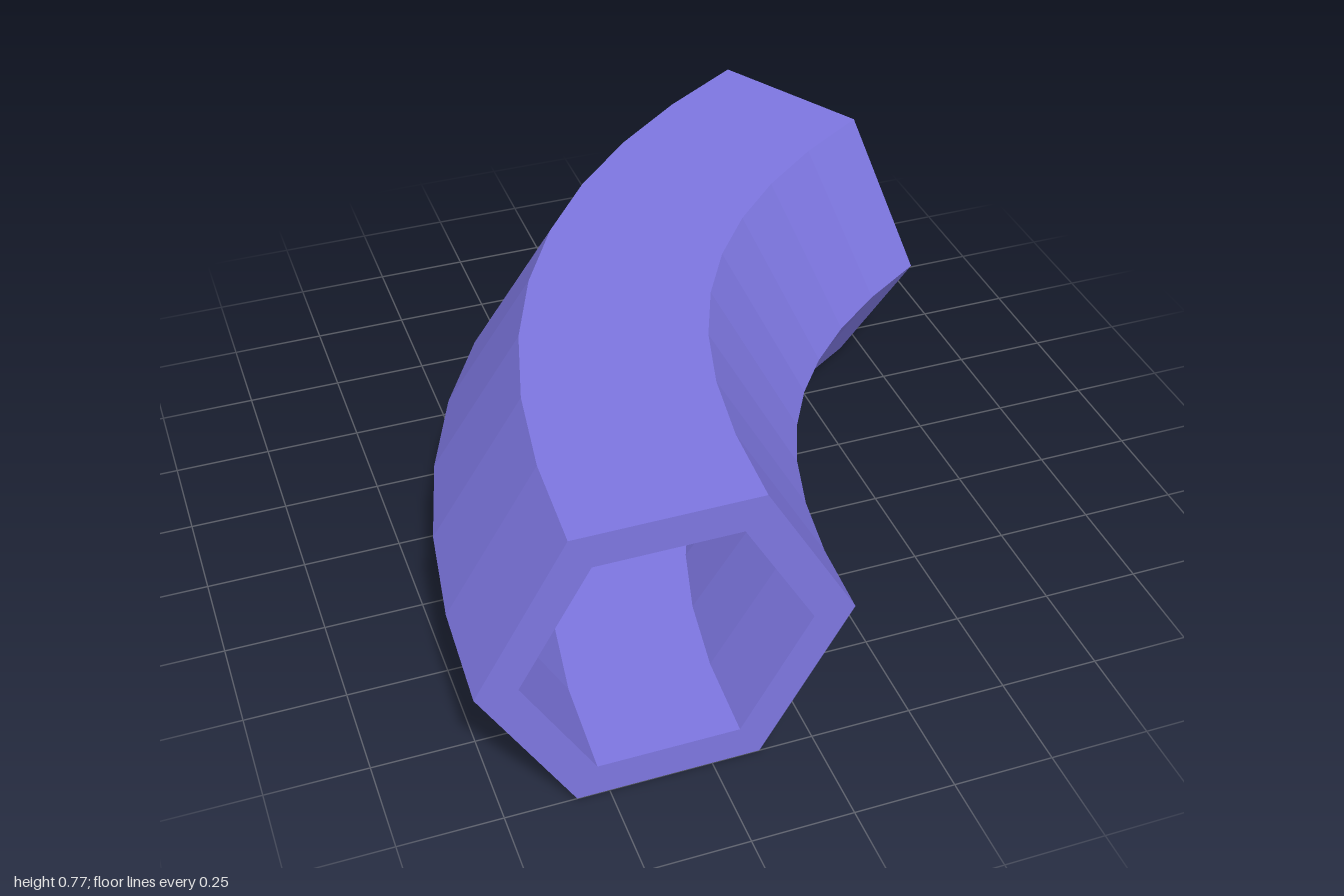
import * as THREE from 'three';

const SIDES = 6, STEPS = 9;
const OUTER = 0.445, INNER = 0.345;
const MID_Y = OUTER * Math.sin(Math.PI / 3);

// Centre line: starts at the front heading back, turns 60 degrees towards +x
function centreLine() {
  const bend = Math.PI / 3, handle = 0.745;
  const start = new THREE.Vector3(-0.355, MID_Y, 1);
  const end = new THREE.Vector3(0.577, MID_Y, -0.615);
  const endDir = new THREE.Vector3(Math.sin(bend), 0, -Math.cos(bend));
  return new THREE.CubicBezierCurve3(
    start,
    start.clone().add(new THREE.Vector3(0, 0, -handle)),
    end.clone().addScaledVector(endDir, -handle),
    end
  );
}

// Hexagonal cross-section of the given radius at parameter t
function ring(curve, t, radius) {
  const centre = curve.getPoint(t);
  const dir = curve.getTangent(t);
  const right = new THREE.Vector3(-dir.z, 0, dir.x);
  return Array.from({ length: SIDES }, (_, k) => {
    const a = (k / SIDES) * Math.PI * 2;
    const p = centre.clone().addScaledVector(right, radius * Math.cos(a));
    p.y += radius * Math.sin(a);
    return p;
  });
}

// Band of quads between two rings
function band(positions, from, to) {
  for (let k = 0; k < SIDES; k++) {
    const n = (k + 1) % SIDES;
    for (const p of [from[k], to[k], to[n], from[k], to[n], from[n]]) positions.push(p.x, p.y, p.z);
  }
}

function makeMesh(name, positions, material) {
  const geometry = new THREE.BufferGeometry();
  geometry.setAttribute('position', new THREE.Float32BufferAttribute(positions, 3));
  geometry.computeVertexNormals();
  const mesh = new THREE.Mesh(geometry, material);
  mesh.name = name;
  return mesh;
}

export function createModel() {
  const group = new THREE.Group();
  group.name = 'bentHexPipe';
  const material = new THREE.MeshStandardMaterial({ color: 0x7d76e0, flatShading: true });

  const curve = centreLine();
  const outer = [], inner = [];
  for (let i = 0; i <= STEPS; i++) {
    outer.push(ring(curve, i / STEPS, OUTER));
    inner.push(ring(curve, i / STEPS, INNER));
  }

  // Outside and bore walls
  const outerWall = [], boreWall = [];
  for (let i = 0; i < STEPS; i++) {
    band(outerWall, outer[i], outer[i + 1]);
    band(boreWall, inner[i + 1], inner[i]);
  }
  group.add(makeMesh('outerWall', outerWall, material));
  group.add(makeMesh('boreWall', boreWall, material));

  // Flat rims at both open ends
  const frontRim = [], backRim = [];
  band(frontRim, inner[0], outer[0]);
  band(backRim, outer[STEPS], inner[STEPS]);
  group.add(makeMesh('frontRim', frontRim, material));
  group.add(makeMesh('backRim', backRim, material));

  return group;
}
